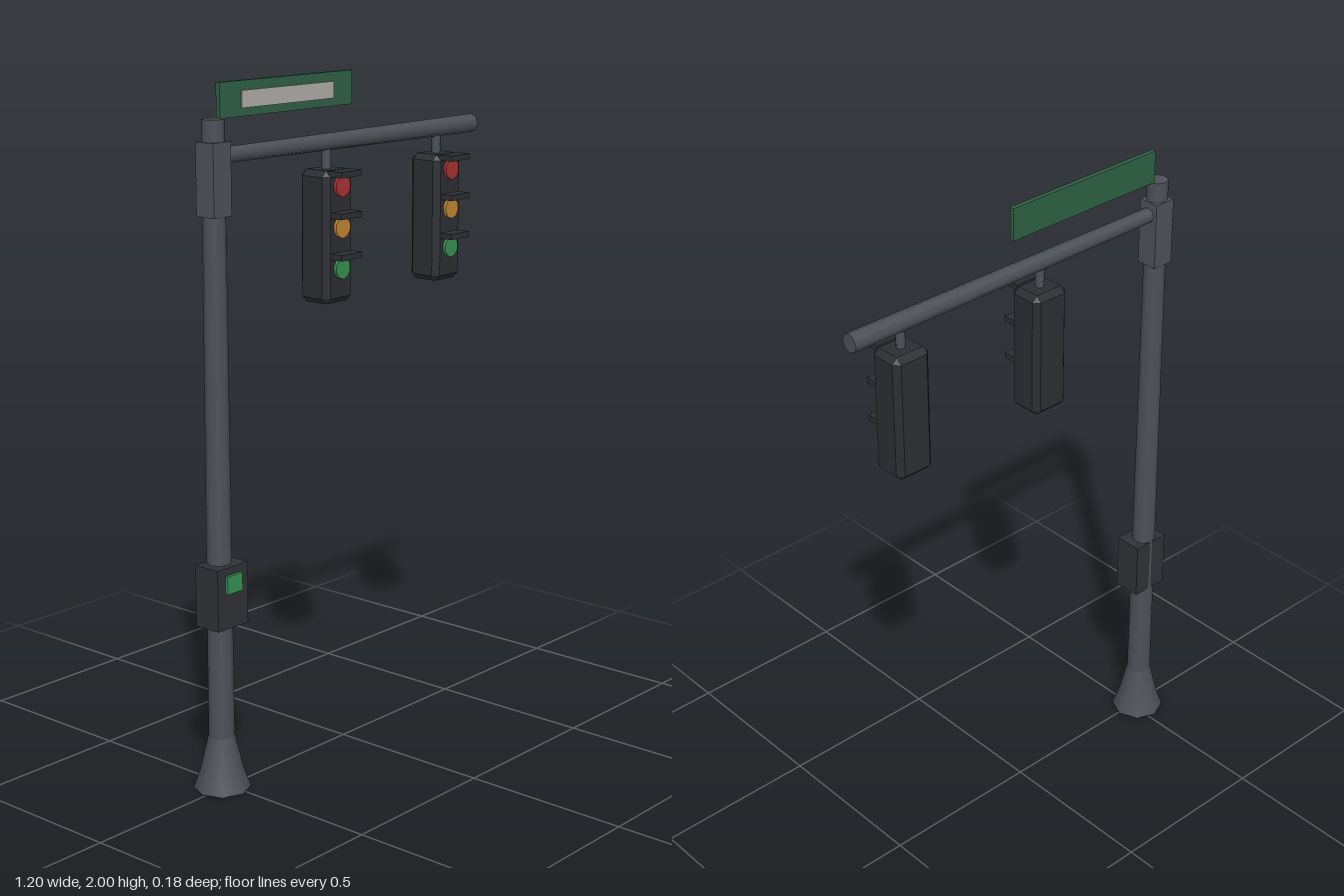
import * as THREE from 'three';
import { ConvexGeometry } from 'three/addons/geometries/ConvexGeometry.js';

const Z = -0.007;      // depth of the pole axis
const POLE_X = -0.52;
const ARM_Y = 1.805;

const paint = (color, flatShading = false) => {
  const m = new THREE.MeshStandardMaterial({ color });
  m.flatShading = flatShading;
  return m;
};
const steel = paint(0x4d5156), dark = paint(0x2b2e32, true), boxGrey = paint(0x2f3236);
const red = paint(0xa83232), amber = paint(0xc08430), green = paint(0x349050);
const signGreen = paint(0x2e6044), signFace = paint(0xb0aca8);

function add(parent, name, geometry, material, x = 0, y = 0, z = 0) {
  const mesh = new THREE.Mesh(geometry, material);
  mesh.name = name;
  mesh.position.set(x, y, z);
  parent.add(mesh);
  return mesh;
}

// Box with every edge cut at 45 degrees
function chamferedBox(w, h, d, c) {
  const points = [];
  for (const sx of [-1, 1]) for (const sy of [-1, 1]) for (const sz of [-1, 1]) {
    for (let axis = 0; axis < 3; axis++) {
      const cut = [c, c, c];
      cut[axis] = 0;
      points.push(new THREE.Vector3(sx * (w / 2 - cut[0]), sy * (h / 2 - cut[1]), sz * (d / 2 - cut[2])));
    }
  }
  return new ConvexGeometry(points);
}

// Hanging signal head: housing, hanger, three lenses with visors
function signalHead(name) {
  const head = new THREE.Group();
  head.name = name;
  const depth = 0.108, front = depth / 2;
  add(head, 'housing', chamferedBox(0.122, 0.38, depth, 0.017), dark, 0, 1.54, 0);
  add(head, 'hanger', new THREE.CylinderGeometry(0.013, 0.013, 0.08, 8), steel, 0, 1.76, 0);
  const lenses = [['redLens', red], ['amberLens', amber], ['greenLens', green]];
  lenses.forEach(([lensName, material], i) => {
    const y = 1.685 - i * 0.117;
    const lens = add(head, lensName, new THREE.CylinderGeometry(0.031, 0.031, 0.02, 10), material, 0, y, front);
    lens.rotation.x = Math.PI / 2;
    add(head, 'visor', new THREE.BoxGeometry(0.087, 0.017, 0.05), dark, 0, y + 0.037, front + 0.016);
  });
  return head;
}

export function createModel() {
  const model = new THREE.Group();
  model.name = 'trafficSignal';

  // Flared foot and tapered pole
  const foot = [[0, 0], [0.081, 0], [0.081, 0.004], [0.06, 0.065], [0.045, 0.13], [0.038, 0.16]]
    .map(([r, y]) => new THREE.Vector2(r, y));
  add(model, 'foot', new THREE.LatheGeometry(foot, 8), steel, POLE_X, 0, Z);
  add(model, 'pole', new THREE.CylinderGeometry(0.031, 0.038, 1.905, 8), steel, POLE_X, 0.9525, Z);

  // Arm with its clamp on the pole
  add(model, 'clamp', new THREE.BoxGeometry(0.068, 0.2, 0.066), steel, POLE_X, 1.745, Z);
  const arm = add(model, 'arm', new THREE.CylinderGeometry(0.022, 0.028, 1.12, 8), steel, 0.04, ARM_Y, Z);
  arm.rotation.z = Math.PI / 2;

  // Signal heads under the arm
  for (const [name, x] of [['innerSignal', -0.065], ['outerSignal', 0.432]]) {
    const head = signalHead(name);
    head.position.set(x, 0, Z);
    model.add(head);
  }

  // Crossing button box
  add(model, 'buttonBox', new THREE.BoxGeometry(0.12, 0.178, 0.086), boxGrey, POLE_X, 0.584, 0.002);
  add(model, 'button', new THREE.BoxGeometry(0.06, 0.052, 0.012), green, POLE_X, 0.625, 0.048);

  // Street sign with blank plate on the front
  add(model, 'sign', new THREE.BoxGeometry(0.538, 0.096, 0.014), signGreen, -0.231, 1.952, Z);
  add(model, 'signPlate', new THREE.BoxGeometry(0.374, 0.047, 0.005), signFace, -0.231, 1.95, Z + 0.0085);

  return model;
}
